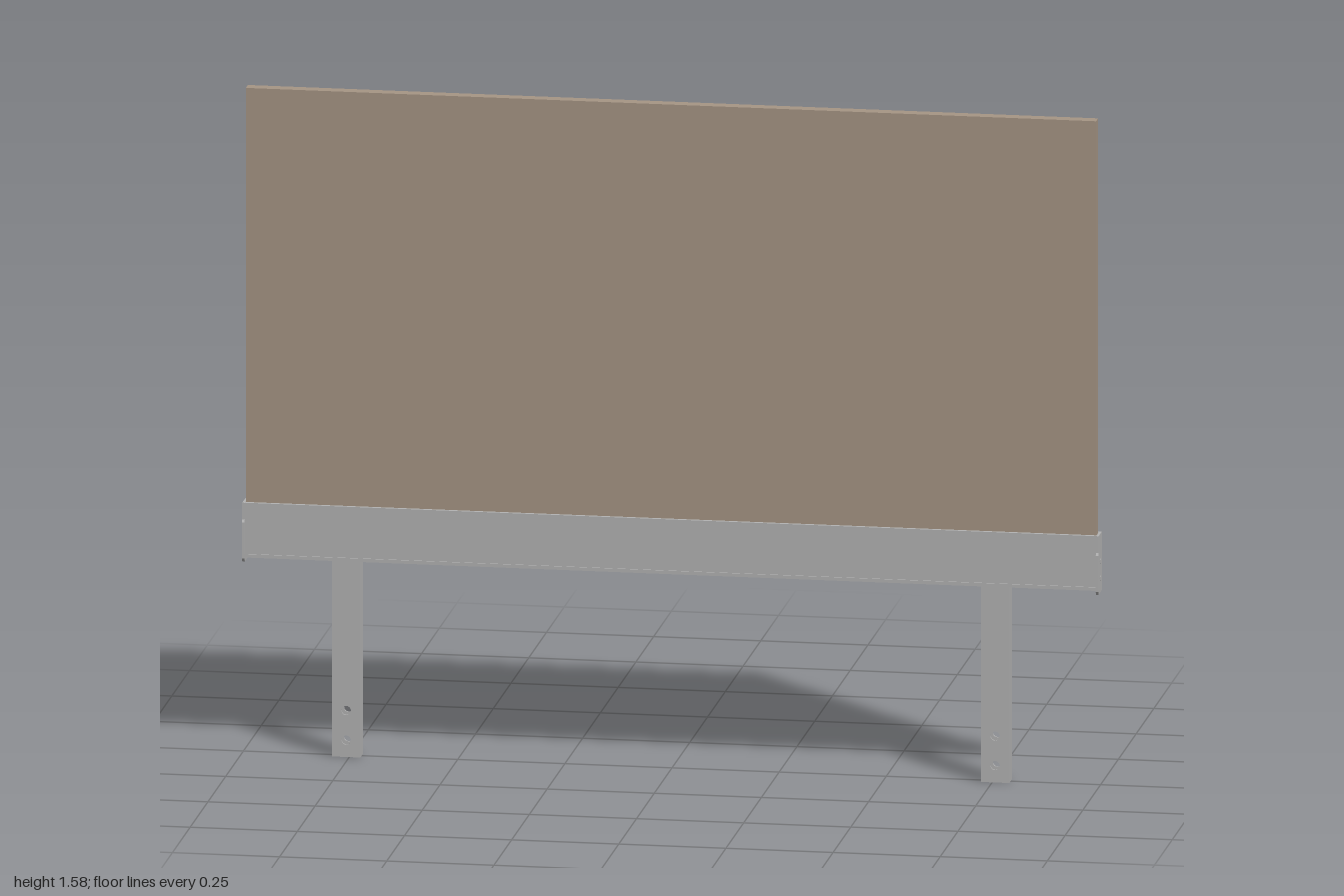
import * as THREE from 'three';

const panelMat = new THREE.MeshStandardMaterial({ name: 'tan panel', color: 0xa79685 });
const metalMat = new THREE.MeshStandardMaterial({ name: 'grey metal', color: 0xb4b4b4 });

function box(name, size, pos, mat = metalMat) {
  const mesh = new THREE.Mesh(new THREE.BoxGeometry(...size), mat);
  mesh.name = name;
  mesh.position.set(...pos);
  return mesh;
}

// Flat plate standing in x/y, with bolt holes, centred on z
function drilledPlate(w, h, depth, holes, radius) {
  const shape = new THREE.Shape([
    new THREE.Vector2(-w / 2, 0), new THREE.Vector2(w / 2, 0),
    new THREE.Vector2(w / 2, h), new THREE.Vector2(-w / 2, h),
  ]);
  for (const y of holes) shape.holes.push(new THREE.Path().absarc(0, y, radius, 0, Math.PI * 2, true));
  return new THREE.ExtrudeGeometry(shape, { depth, bevelEnabled: false, curveSegments: 10 })
    .translate(0, 0, -depth / 2);
}

// Hollow rectangular post with two through holes near the foot
function makeLeg() {
  const leg = new THREE.Group();
  const w = 0.066, d = 0.037, h = 0.468, t = 0.004;
  const plate = drilledPlate(w, h, t, [0.04, 0.11], 0.011);
  for (const s of [-1, 1]) {
    const face = new THREE.Mesh(plate, metalMat);
    face.name = 'legFace';
    face.position.z = s * (d - t) / 2;
    leg.add(face, box('legSide', [t, h, d - 2 * t], [s * (w - t) / 2, h / 2, 0]));
  }
  return leg;
}

// End cap: narrow upper tab, wider stepped body and chamfered foot
function makeEndCap() {
  const half = [[0.022, 0.455], [0.027, 0.463], [0.027, 0.548], [0.023, 0.554], [0.023, 0.594]];
  const pts = [...half, ...half.map(([z, y]) => [-z, y]).reverse()];
  const geo = new THREE.ExtrudeGeometry(
    new THREE.Shape(pts.map(p => new THREE.Vector2(...p))), { depth: 0.006, bevelEnabled: false });
  const cap = new THREE.Group();
  const body = new THREE.Mesh(geo.rotateY(Math.PI / 2), metalMat);
  body.name = 'endCapBody';
  cap.add(body);
  for (const y of [0.49, 0.53]) {
    const screw = new THREE.Mesh(new THREE.CylinderGeometry(0.006, 0.006, 0.002, 12), metalMat);
    screw.name = 'capScrew';
    screw.rotation.z = Math.PI / 2;
    screw.position.set(0.006, y, 0);
    cap.add(screw);
  }
  return cap;
}

export function createModel() {
  const model = new THREE.Group();
  model.name = 'panelScreen';

  // Upright panel seated in the rail
  model.add(box('panel', [1.984, 1.1, 0.029], [0, 1.025, 0], panelMat));

  // Base rail: two cheeks, floor and small lower lip
  for (const s of [-1, 1]) {
    model.add(box('railCheek', [1.986, 0.127, 0.008], [0, 0.5305, s * 0.0185]));
  }
  model.add(box('railFloor', [1.986, 0.01, 0.03], [0, 0.472, 0]));
  for (const s of [-1, 1]) {
    model.add(box('railLip', [1.986, 0.008, 0.004], [0, 0.469, s * 0.0235]));
  }

  // End caps and legs on both sides
  for (const s of [-1, 1]) {
    const cap = makeEndCap();
    cap.name = s > 0 ? 'leftEndCap' : 'rightEndCap';
    cap.position.x = s * 0.993;
    cap.rotation.y = s > 0 ? 0 : Math.PI;
    const leg = makeLeg();
    leg.name = s > 0 ? 'leftLeg' : 'rightLeg';
    leg.position.x = s * 0.757;
    model.add(cap, leg);
  }
  return model;
}
